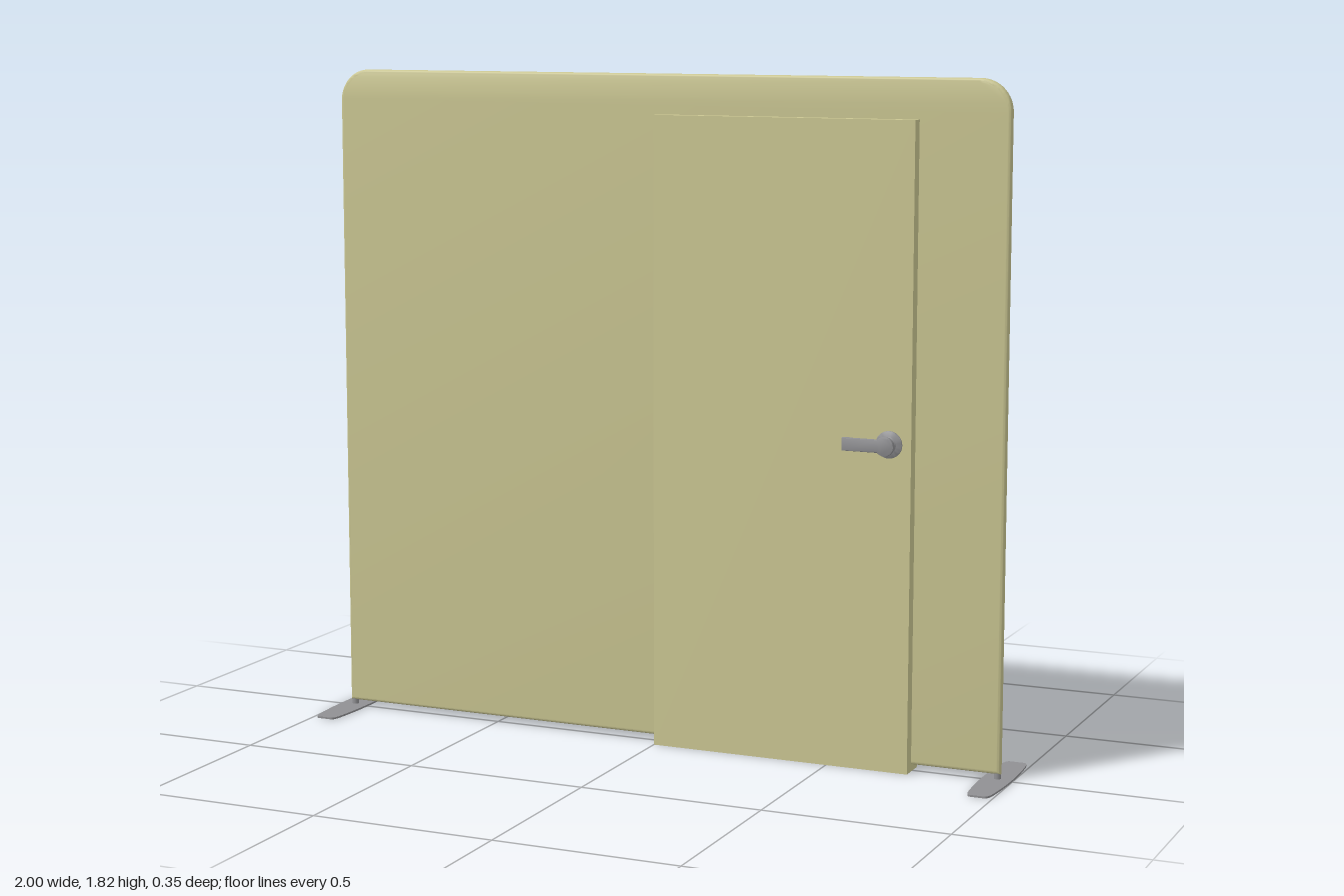
import * as THREE from 'three';
import { toCreasedNormals } from 'three/addons/utils/BufferGeometryUtils.js';

export function createModel() {
  const group = new THREE.Group();
  const cream = new THREE.MeshStandardMaterial({ name: 'creamPanel', color: 0xcac692 });
  const grey = new THREE.MeshStandardMaterial({ name: 'greyMetal', color: 0x909093 });

  const add = (name, geometry, material, x = 0, y = 0, z = 0, parent = group) => {
    const mesh = new THREE.Mesh(geometry, material);
    mesh.name = name;
    mesh.position.set(x, y, z);
    parent.add(mesh);
    return mesh;
  };

  // Wall panel: rounded top corners and softly rounded rim
  const w = 0.97, bottom = 0.018, top = 1.815, r = 0.085;
  const wall = new THREE.Shape();
  wall.moveTo(-w, bottom);
  wall.lineTo(w, bottom);
  wall.lineTo(w, top - r);
  wall.absarc(w - r, top - r, r, 0, Math.PI / 2);
  wall.lineTo(-w + r, top);
  wall.absarc(-w + r, top - r, r, Math.PI / 2, Math.PI);
  wall.closePath();
  const wallGeo = new THREE.ExtrudeGeometry(wall, {
    depth: 0.004, bevelThickness: 0.01, bevelSize: 0.01, bevelOffset: -0.01,
    bevelSegments: 5, curveSegments: 10,
  });
  add('wallPanel', toCreasedNormals(wallGeo, 0.6), cream, 0, 0, -0.002);

  // Door slab standing through the panel
  add('door', new THREE.BoxGeometry(0.727, 1.708, 0.08), cream, 0.3635, 0.854, 0.005);

  // Flat barrel-shaped feet, each with a short post
  const foot = new THREE.Shape();
  foot.moveTo(-0.02, -0.173);
  foot.lineTo(0.02, -0.173);
  foot.quadraticCurveTo(0.03, -0.172, 0.033, -0.14);
  foot.quadraticCurveTo(0.047, 0, 0.033, 0.14);
  foot.quadraticCurveTo(0.03, 0.172, 0.02, 0.173);
  foot.lineTo(-0.02, 0.173);
  foot.quadraticCurveTo(-0.03, 0.172, -0.033, 0.14);
  foot.quadraticCurveTo(-0.047, 0, -0.033, -0.14);
  foot.quadraticCurveTo(-0.03, -0.172, -0.02, -0.173);
  const footGeo = new THREE.ExtrudeGeometry(foot, { depth: 0.005, bevelEnabled: false, curveSegments: 8 });
  footGeo.rotateX(-Math.PI / 2);
  for (const [side, s] of [['left', 1], ['right', -1]]) {
    add(side + 'Foot', footGeo, grey, s * 0.96, 0, 0);
    add(side + 'FootPost', new THREE.CylinderGeometry(0.009, 0.009, 0.02, 16), grey, s * 0.96, 0.012, 0);
  }

  // Door handle: rose, flared neck and lever with a turned-in tip
  const handle = new THREE.Group();
  handle.name = 'doorHandle';
  handle.position.set(0.667, 0.872, 0.045);
  group.add(handle);
  const turned = (points) => new THREE.LatheGeometry(
    points.map(([x, y]) => new THREE.Vector2(x, y)), 32).rotateX(Math.PI / 2);
  add('handleRose', toCreasedNormals(turned([[0.036, 0], [0.036, 0.004], [0.033, 0.006], [0, 0.006]]), 0.6), grey, 0, 0, 0, handle);
  add('handleNeck', turned([[0.022, 0.005], [0.015, 0.01], [0.012, 0.016], [0.012, 0.03]]), grey, 0, 0, 0, handle);

  const lever = new THREE.Shape();
  lever.moveTo(-0.117, -0.017);
  lever.lineTo(-0.02, -0.017);
  lever.absarc(0, 0, 0.0255, Math.PI + 0.72, Math.PI * 3 - 0.72);
  lever.lineTo(-0.117, 0.017);
  lever.closePath();
  const leverGeo = new THREE.ExtrudeGeometry(lever, {
    depth: 0.008, bevelThickness: 0.003, bevelSize: 0.003, bevelOffset: -0.003,
    bevelSegments: 2, curveSegments: 20,
  });
  add('handleLever', toCreasedNormals(leverGeo, 0.6), grey, 0, 0, 0.031, handle);
  add('handleTip', new THREE.BoxGeometry(0.012, 0.03, 0.02), grey, -0.11, 0, 0.023, handle);

  return group;
}
